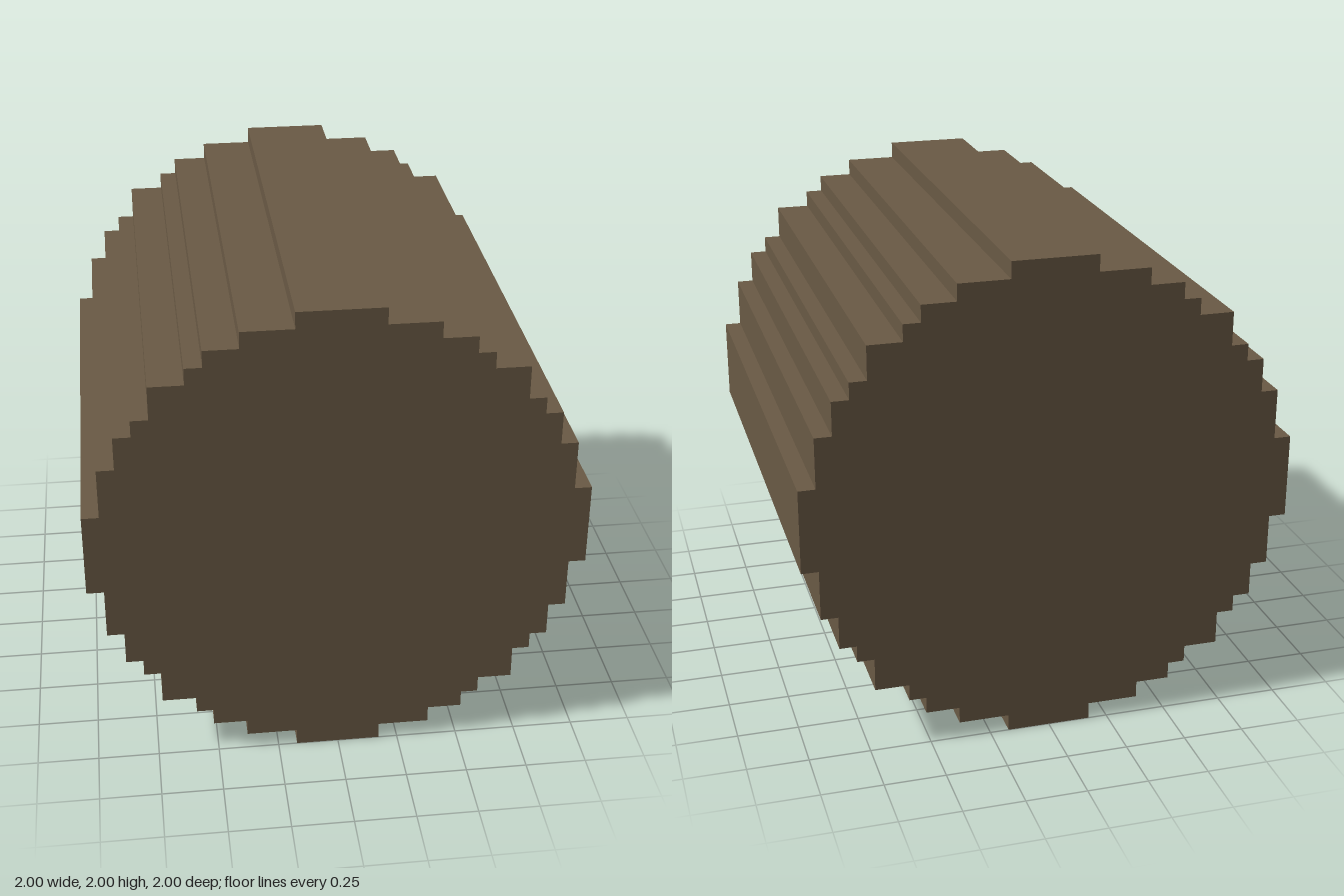
import * as THREE from 'three';

// Stepped log: a disc drawn on a 29-cell square grid, extruded along z.
export function createModel() {
  const group = new THREE.Group();
  group.name = 'steppedLog';
  const bark = new THREE.MeshStandardMaterial({ color: 0x6a5a45 });
  bark.name = 'brown';

  // Step corners of one quadrant, in half cells; heights mirror the widths.
  const widths = [5, 11, 15, 17, 21, 23, 25, 27, 29];
  const heights = [...widths].reverse();
  const quadrant = [];
  widths.forEach((w, i) => {
    quadrant.push([w, heights[i]]);
    if (i < widths.length - 1) quadrant.push([w, heights[i + 1]]);
  });

  // Turn the quadrant clockwise four times to close the outline.
  const outline = [];
  let corners = quadrant;
  for (let q = 0; q < 4; q++) {
    corners.forEach(([x, y]) => outline.push(new THREE.Vector2(x / 29, y / 29)));
    corners = corners.map(([x, y]) => [y, -x]);
  }

  const geometry = new THREE.ExtrudeGeometry(new THREE.Shape(outline), {
    depth: 2, bevelEnabled: false,
  });
  geometry.translate(0, 1, -1);

  const log = new THREE.Mesh(geometry, bark);
  log.name = 'log';
  group.add(log);
  return group;
}
